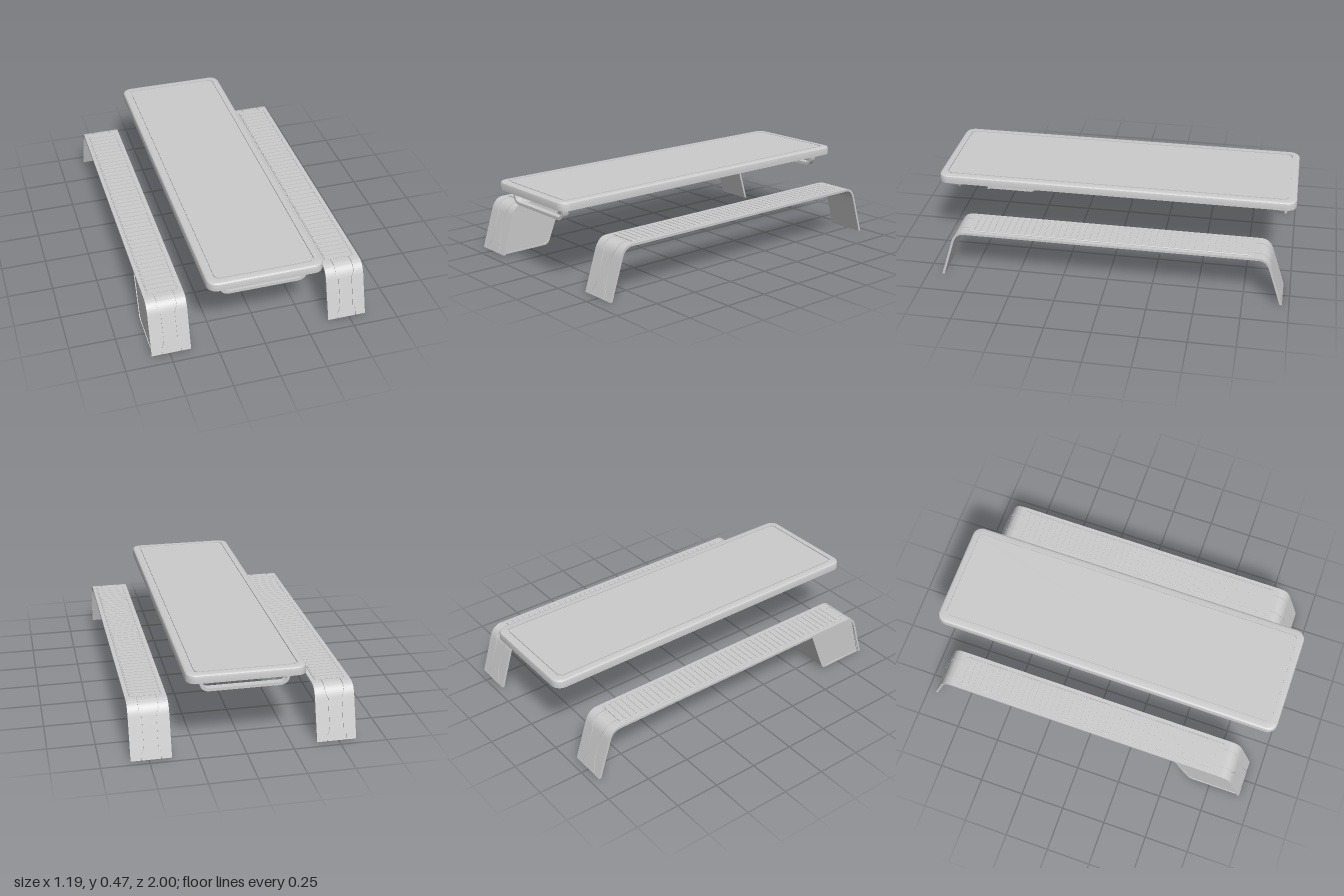
import * as THREE from 'three';
import { toCreasedNormals } from 'three/addons/utils/BufferGeometryUtils.js';

const material = new THREE.MeshStandardMaterial({ color: 0xcccccc });

function add(parent, name, geometry) {
  const mesh = new THREE.Mesh(geometry, material);
  mesh.name = name;
  parent.add(mesh);
  return mesh;
}

function indexed(positions, index) {
  const g = new THREE.BufferGeometry();
  g.setAttribute('position', new THREE.Float32BufferAttribute(positions, 3));
  g.setIndex(index);
  return toCreasedNormals(g, 0.5);
}

// Outline of a rectangle with rounded corners, as [x, z] points
function roundedRect(hx, hz, r, steps = 6) {
  const points = [];
  for (let q = 0; q < 4; q++) {
    const sx = q === 0 || q === 3 ? 1 : -1, sz = q < 2 ? 1 : -1;
    for (let i = 0; i <= steps; i++) {
      const a = (q + i / steps) * Math.PI / 2;
      points.push([sx * (hx - r) + r * Math.cos(a), sz * (hz - r) + r * Math.sin(a)]);
    }
  }
  return points;
}

// Capped solid from stacked rounded rectangles; each level is [inset, y]
function slab(hx, hz, radius, levels, minRadius) {
  const pos = [], idx = [];
  let n = 0;
  for (const [inset, y] of levels) {
    const ring = roundedRect(hx - inset, hz - inset, Math.max(radius - inset, minRadius));
    n = ring.length;
    for (const [x, z] of ring) pos.push(x, y, z);
  }
  const last = levels.length - 1, bottom = levels.length * n;
  pos.push(0, levels[0][1], 0, 0, levels[last][1], 0);
  for (let j = 0; j < n; j++) {
    const k = (j + 1) % n;
    for (let i = 0; i < last; i++) {
      const a = i * n + j, b = i * n + k;
      idx.push(a, a + n, b + n, a, b + n, b);
    }
    idx.push(bottom, j, k, bottom + 1, last * n + k, last * n + j);
  }
  return indexed(pos, idx);
}

// Side path of a bench: front foot, up, along the top, down to the rear foot
function benchPath() {
  const half = [[0.9425, 0], [0.9331, 0.03], [0.9238, 0.06], [0.8984, 0.14], [0.875, 0.215]]
    .map(([z, y]) => new THREE.Vector2(z, y));
  const bend = new THREE.QuadraticBezierCurve(
    half[4], new THREE.Vector2(0.855, 0.28), new THREE.Vector2(0.8, 0.28));
  half.push(...bend.getPoints(10).slice(1));
  const rear = half.map(p => new THREE.Vector2(-p.x, p.y)).reverse();
  const path = [...half, ...rear];
  return path.map((p, i) => {
    if (i === 0 || i === path.length - 1) return { p, n: new THREE.Vector2(i ? -1.05 : 1.05, 0) };
    const t = path[i + 1].clone().sub(path[i - 1]).normalize();
    return { p, n: new THREE.Vector2(t.y, -t.x) };
  });
}

// Solid band along the bench path; left and right edges may vary with height
function band(path, left, right, outer, inner) {
  const pos = [], idx = [];
  path.forEach(({ p, n }) => {
    const l = left(p.y), r = right(p.y);
    for (const [x, d] of [[l, outer], [r, outer], [r, inner], [l, inner]])
      pos.push(x, p.y - n.y * d, p.x - n.x * d);
  });
  for (let i = 0; i < path.length - 1; i++)
    for (let k = 0; k < 4; k++) {
      const a = i * 4 + k, b = i * 4 + (k + 1) % 4;
      idx.push(a, b, b + 4, a, b + 4, a + 4);
    }
  const e = (path.length - 1) * 4;
  idx.push(0, 2, 1, 0, 3, 2, e, e + 1, e + 2, e, e + 2, e + 3);
  return indexed(pos, idx);
}

// Distance of the leg grooves from the middle, narrower along the leg
function grooveOffset(y) {
  const wide = 0.051, narrow = 0.037;
  if (y < 0.14) return THREE.MathUtils.mapLinear(THREE.MathUtils.clamp(y, 0.03, 0.06), 0.03, 0.06, wide, narrow);
  return THREE.MathUtils.mapLinear(THREE.MathUtils.clamp(y, 0.215, 0.248), 0.215, 0.248, narrow, wide);
}

function bench() {
  const group = new THREE.Group();
  const path = benchPath(), w = 0.106, gap = 0.0025;
  // Core with three outer panels that leave two narrow grooves
  add(group, 'benchCore', band(path, () => -w, () => w, 0.004, 0.013));
  add(group, 'benchMiddlePanel', band(path, y => gap - grooveOffset(y), y => grooveOffset(y) - gap, 0, 0.005));
  add(group, 'benchLeftPanel', band(path, y => grooveOffset(y) + gap, () => w, 0, 0.005));
  add(group, 'benchRightPanel', band(path, () => -w, y => -grooveOffset(y) - gap, 0, 0.005));
  // Ribbed seat pad
  add(group, 'seatPad', slab(0.084, 0.78, 0.012,
    [[0, 0.272], [0, 0.283], [0.002, 0.285], [0.006, 0.285], [0.006, 0.282]], 0.006));
  const slats = 44, pitch = 1.564 / slats;
  for (let i = 0; i < slats; i++) {
    const slat = add(group, 'seatSlat', new THREE.BoxGeometry(0.154, 0.005, pitch - 0.005));
    slat.position.set(0, 0.2825, (i - (slats - 1) / 2) * pitch);
  }
  return group;
}

// Extrudes a z-y outline across x, centred on x = 0
function acrossX(shape, width) {
  const g = new THREE.ExtrudeGeometry(shape, { depth: width, bevelEnabled: false, curveSegments: 8 });
  g.rotateY(-Math.PI / 2);
  g.translate(width / 2, 0, 0);
  return toCreasedNormals(g, 0.5);
}

// Slanted compartment outline, drawn smaller by d
function compartmentOutline(target, d) {
  target.moveTo(0.93 - d * 1.3, 0.003 + d);
  target.lineTo(0.868 - d, 0.22);
  target.quadraticCurveTo(0.851 - d, 0.274 - d, 0.8 - d, 0.274 - d);
  target.lineTo(0.53 + d * 1.4, 0.274 - d);
  target.lineTo(0.627 + d, 0.03 + d);
  target.quadraticCurveTo(0.638 + d, 0.003 + d, 0.665 + d, 0.003 + d);
  target.closePath();
  return target;
}

function compartment() {
  const group = new THREE.Group();
  const frame = compartmentOutline(new THREE.Shape(), 0);
  frame.holes.push(compartmentOutline(new THREE.Path(), 0.009));
  add(group, 'compartmentFrame', acrossX(frame, 0.204));
  add(group, 'compartmentPanels', acrossX(compartmentOutline(new THREE.Shape(), 0.008), 0.196));
  return group;
}

// U-shaped bracket under the table
function bracket() {
  const s = new THREE.Shape();
  const outline = (hx, y, r, forward) => {
    const steps = [
      () => s.lineTo(-hx, 0.425), () => s.lineTo(-hx, y + r),
      () => s.absarc(-hx + r, y + r, r, Math.PI, Math.PI * 1.5, false),
      () => s.absarc(hx - r, y + r, r, Math.PI * 1.5, Math.PI * 2, false),
      () => s.lineTo(hx, 0.425)];
    if (forward) { s.moveTo(-hx, 0.425); steps.slice(1).forEach(f => f()); return; }
    s.lineTo(hx, 0.425);
    s.absarc(hx - r, y + r, r, 0, -Math.PI / 2, true);
    s.absarc(-hx + r, y + r, r, -Math.PI / 2, -Math.PI, true);
    s.lineTo(-hx, 0.425);
  };
  outline(0.234, 0.342, 0.05, true);
  outline(0.218, 0.358, 0.034, false);
  s.closePath();
  const g = new THREE.ExtrudeGeometry(s, { depth: 0.035, bevelEnabled: false, curveSegments: 10 });
  g.translate(0, 0, -0.0175);
  return toCreasedNormals(g, 0.5);
}

export function createModel() {
  const model = new THREE.Group();
  model.name = 'tableAndBenches';

  // Table top with rounded rim and inlaid groove
  const table = new THREE.Group();
  table.name = 'table';
  add(table, 'tableTop', slab(0.31, 1, 0.055, [
    [0, 0.42], [0, 0.45], [0.003, 0.459], [0.008, 0.4635], [0.014, 0.465],
    [0.041, 0.465], [0.041, 0.459], [0.048, 0.459], [0.048, 0.465]], 0.028));
  for (const z of [0.927, -0.918]) add(table, 'tableBracket', bracket()).position.z = z;
  model.add(table);

  // Benches on both sides, the right one with a compartment at its front
  const left = bench();
  left.name = 'leftBench';
  left.position.set(0.488, 0, -0.021);
  const right = bench();
  right.name = 'rightBench';
  right.position.set(-0.491, 0, -0.012);
  const box = compartment();
  box.name = 'compartment';
  right.add(box);
  model.add(left, right);
  return model;
}
